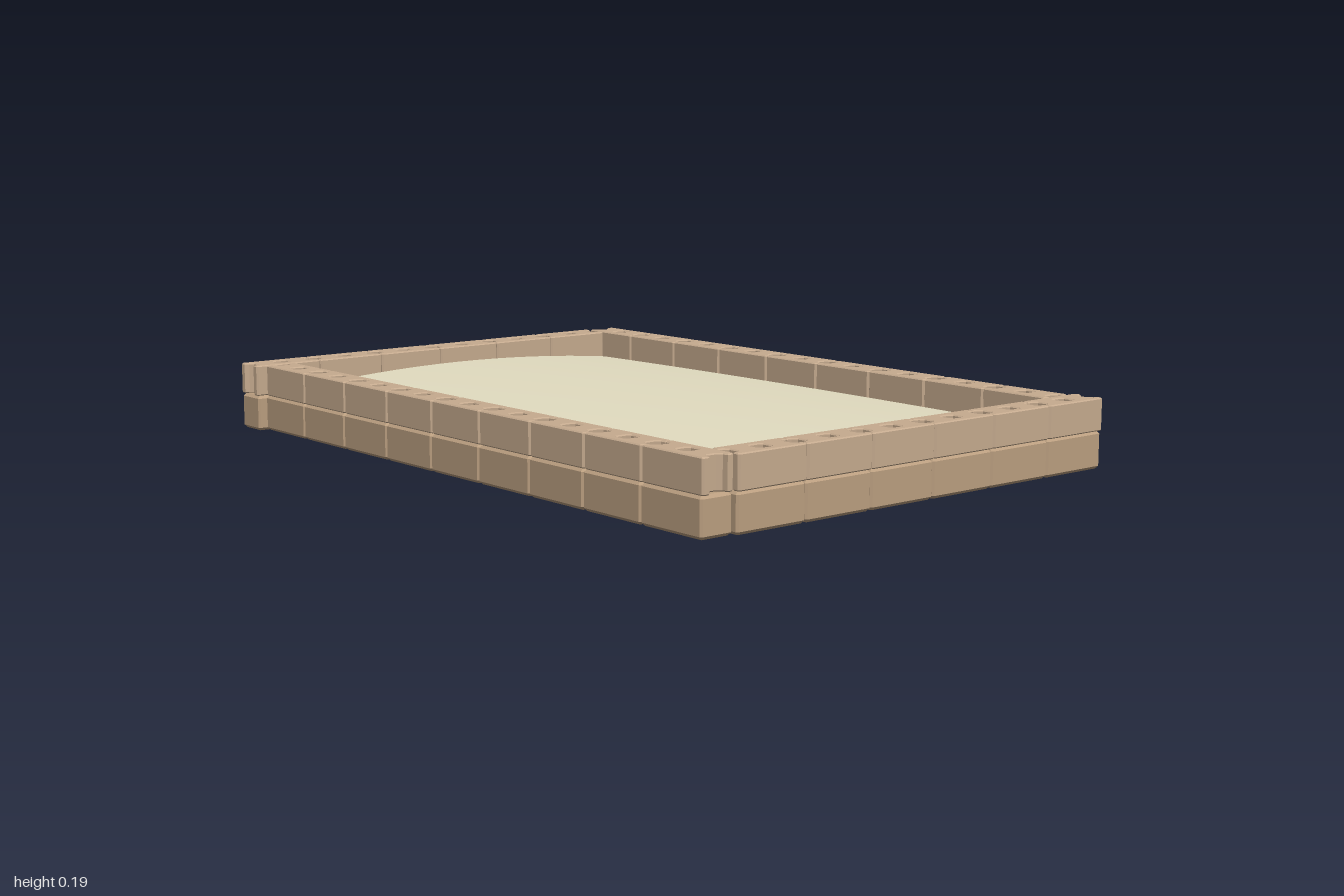
import * as THREE from 'three';

const PITCH = 0.21, LENGTH = 0.2094, WIDTH = 0.092;

const closed = (Type, points) => new Type(points.map(([x, y]) => new THREE.Vector2(x, y)));

// Block with clipped corners; the grooved kind has half-octagon end notches and a square socket
function blockGeometry(height, bevel, grooved) {
  const l = LENGTH / 2, w = WIDTH / 2, clip = 0.005;
  const notch = grooved ? [[0, -0.026], [0.014, -0.024], [0.024, -0.013], [0.024, 0.013], [0.014, 0.024], [0, 0.026]] : [];
  const half = [[clip, -w], [0, -w + clip], ...notch, [0, w - clip], [clip, w]];
  const shape = closed(THREE.Shape, [
    ...half.map(([x, y]) => [l - x, y]),
    ...half.map(([x, y]) => [x - l, -y])
  ]);
  if (grooved) {
    const a = 0.022, b = 0.014;
    shape.holes.push(closed(THREE.Path, [[-a, -b], [-a, b], [-b, a], [b, a], [a, b], [a, -b], [b, -a], [-b, -a]]));
  }
  const g = new THREE.ExtrudeGeometry(shape, {
    depth: height - 2 * bevel, bevelEnabled: true, bevelSegments: 1,
    bevelSize: bevel, bevelThickness: bevel, bevelOffset: -bevel
  });
  g.translate(0, 0, bevel);
  g.rotateX(-Math.PI / 2);
  return g;
}

export function createModel() {
  const group = new THREE.Group();
  const lowerWood = new THREE.MeshStandardMaterial({ color: 0xbb9f80 });
  const upperWood = new THREE.MeshStandardMaterial({ color: 0xc6ab8f });
  const sandMat = new THREE.MeshStandardMaterial({ color: 0xe2dcc0 });

  // Pinwheel walls: start corner, number of blocks, direction
  const walls = [
    { name: 'frontWall', x: -0.903, z: 0.616, count: 9, alongZ: false },
    { name: 'backWall', x: -0.987, z: -0.622, count: 9, alongZ: false },
    { name: 'leftWall', x: 0.953, z: -0.692, count: 6, alongZ: true },
    { name: 'rightWall', x: -0.954, z: -0.571, count: 6, alongZ: true }
  ];
  const layers = [
    { name: 'Lower', y: 0, geometry: blockGeometry(0.1, 0.008, false), material: lowerWood, shift: -0.005 },
    { name: 'Upper', y: 0.1, geometry: blockGeometry(0.086, 0.003, true), material: upperWood, shift: 0 }
  ];
  const pegGeo = new THREE.BoxGeometry(0.03, 0.04, 0.03);
  for (const layer of layers) for (const wall of walls) {
    // The lower side walls stand slightly further in
    const inward = Math.sign(wall.x) * layer.shift;
    const row = new THREE.Group();
    row.name = wall.name + layer.name;
    row.position.set(wall.x + (wall.alongZ ? inward : layer.shift), layer.y, wall.z);
    for (let i = 0; i < wall.count; i++) {
      const block = new THREE.Mesh(layer.geometry, layer.material);
      block.name = 'wallBlock';
      const d = (i + 0.5) * PITCH;
      if (wall.alongZ) {
        block.position.z = d;
        block.rotation.y = Math.PI / 2;
      } else block.position.x = d;
      // Peg of the lower block, standing in the socket above
      if (layer.y === 0) {
        const peg = new THREE.Mesh(pegGeo, layer.material);
        peg.name = 'peg';
        peg.position.set(wall.alongZ ? 0 : -layer.shift, 0.115, wall.alongZ ? -inward : 0);
        block.add(peg);
      }
      row.add(block);
    }
    group.add(row);
  }

  // Sand: slab with a flat underside, lowest at the corners of its domed top
  const sandGeo = new THREE.BoxGeometry(1.815, 0.05, 1.145, 24, 1, 16);
  const p = sandGeo.attributes.position;
  for (let i = 0; i < p.count; i++) {
    const u = p.getX(i) / 0.9075, v = p.getZ(i) / 0.5725;
    p.setY(i, p.getY(i) < 0 ? 0.058 : 0.107 + 0.006 * (1 - u * u) + 0.032 * (1 - v * v));
  }
  sandGeo.computeVertexNormals();
  const sand = new THREE.Mesh(sandGeo, sandMat);
  sand.name = 'sand';
  group.add(sand);
  return group;
}
